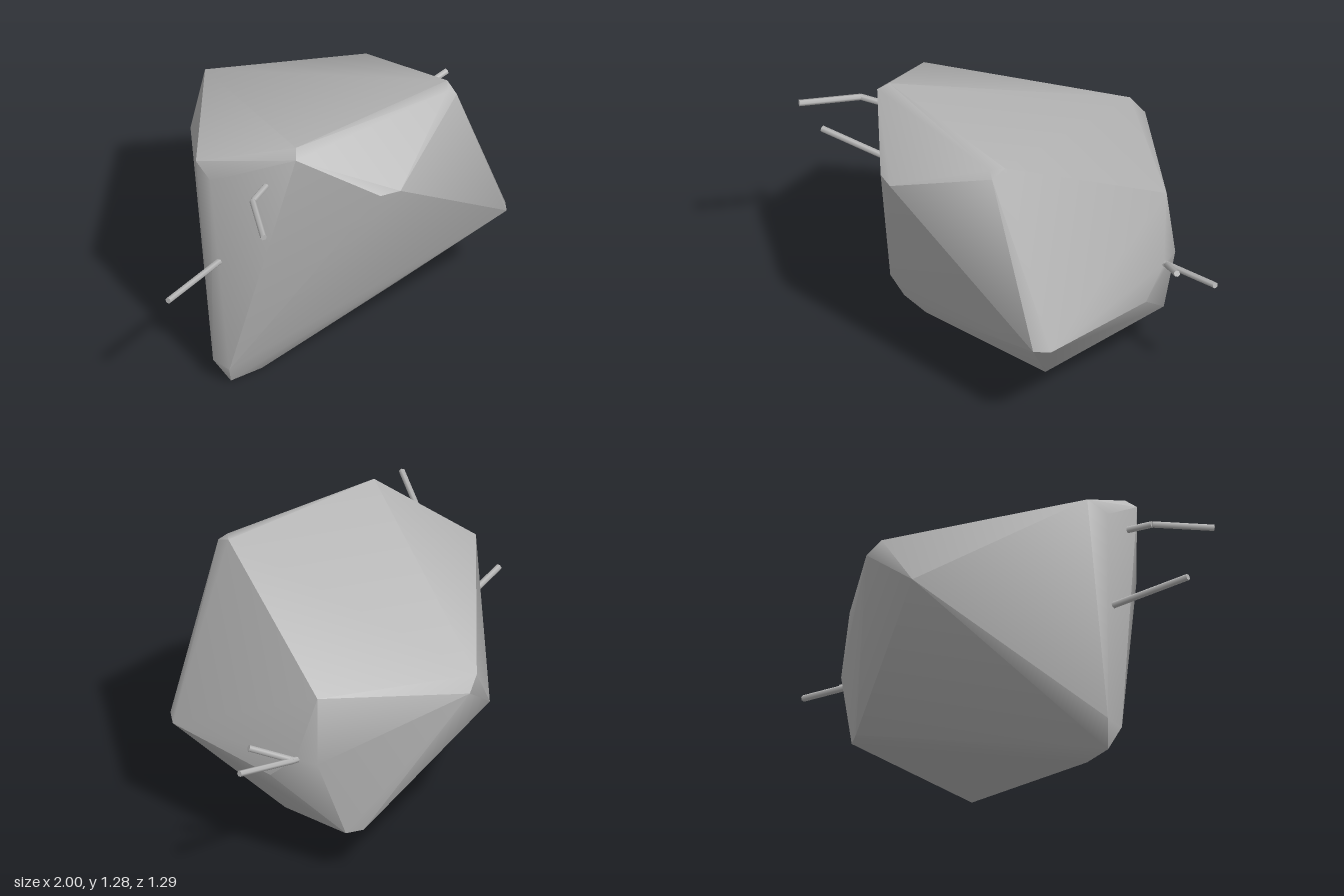
import * as THREE from 'three';
import { toCreasedNormals } from 'three/addons/utils/BufferGeometryUtils.js';
import { ConvexGeometry } from 'three/addons/geometries/ConvexGeometry.js';

const stone = new THREE.MeshStandardMaterial({ color: 0xb8b8b8 });
stone.name = 'pale grey';

const V = (p) => new THREE.Vector3(...p);

// Boulder corners; each is chamfered by two or three close points
const corners = [
  // top front right
  [0.3, 1.28, 0.51], [0.28, 1.25, 0.575], [0.25, 1.272, 0.55],
  // top left
  [-0.46, 1.28, 0.29], [-0.5, 1.25, 0.32],
  // upper front
  [-0.2, 1.06, 0.645], [-0.28, 1.06, 0.6],
  // lower front right
  [0.54, 0.51, 0.64], [0.595, 0.5, 0.59],
  // right shoulder
  [0.64, 0.9, -0.18], [0.67, 0.6, -0.2],
  // right flank
  [0.685, 0.6, -0.1], [0.685, 0.48, 0.03],
  // back
  [0.12, 0.92, -0.635], [0.19, 0.865, -0.648], [-0.02, 0.71, -0.605],
  // left shoulder
  [-0.59, 1.09, -0.14], [-0.62, 1.05, -0.04],
  // left foot
  [-0.62, 0.1, 0.06], [-0.615, 0.11, -0.03], [-0.57, 0, 0.03], [-0.42, 0, 0.08],
  // underside
  [0.3, 0.07, 0.22], [0.56, 0.235, -0.27], [0.5, 0.24, -0.32],
];

// Each twig is a bent path of straight segments
const twigs = {
  leftTwig: [[0.58, 0.585, -0.12], [0.71, 0.605, -0.1], [1, 0.66, -0.03]],
  leftTwigFork: [[0.7, 0.603, -0.1], [0.845, 0.69, 0.03]],
  rightTwig: [[-0.5, 0.635, 0], [-0.63, 0.645, 0.004], [-0.998, 0.675, 0.025]],
  upperRightTwig: [[-0.45, 1.085, 0.18], [-0.66, 1.085, 0.215], [-0.84, 1.09, 0.41]],
};

function segment(a, b, radius) {
  const dir = b.clone().sub(a);
  const geo = new THREE.CylinderGeometry(radius, radius, dir.length(), 6);
  const mesh = new THREE.Mesh(geo, stone);
  mesh.position.copy(a).add(b).multiplyScalar(0.5);
  mesh.quaternion.setFromUnitVectors(new THREE.Vector3(0, 1, 0), dir.normalize());
  return mesh;
}

export function createModel() {
  const model = new THREE.Group();
  model.name = 'boulderWithTwigs';

  const hull = toCreasedNormals(new ConvexGeometry(corners.map(V)), 0.75);
  const boulder = new THREE.Mesh(hull, stone);
  boulder.name = 'boulder';
  model.add(boulder);

  for (const [name, path] of Object.entries(twigs)) {
    const twig = new THREE.Group();
    twig.name = name;
    for (let i = 1; i < path.length; i++) {
      const part = segment(V(path[i - 1]), V(path[i]), 0.014);
      part.name = name + 'Segment' + i;
      twig.add(part);
    }
    model.add(twig);
  }
  return model;
}
